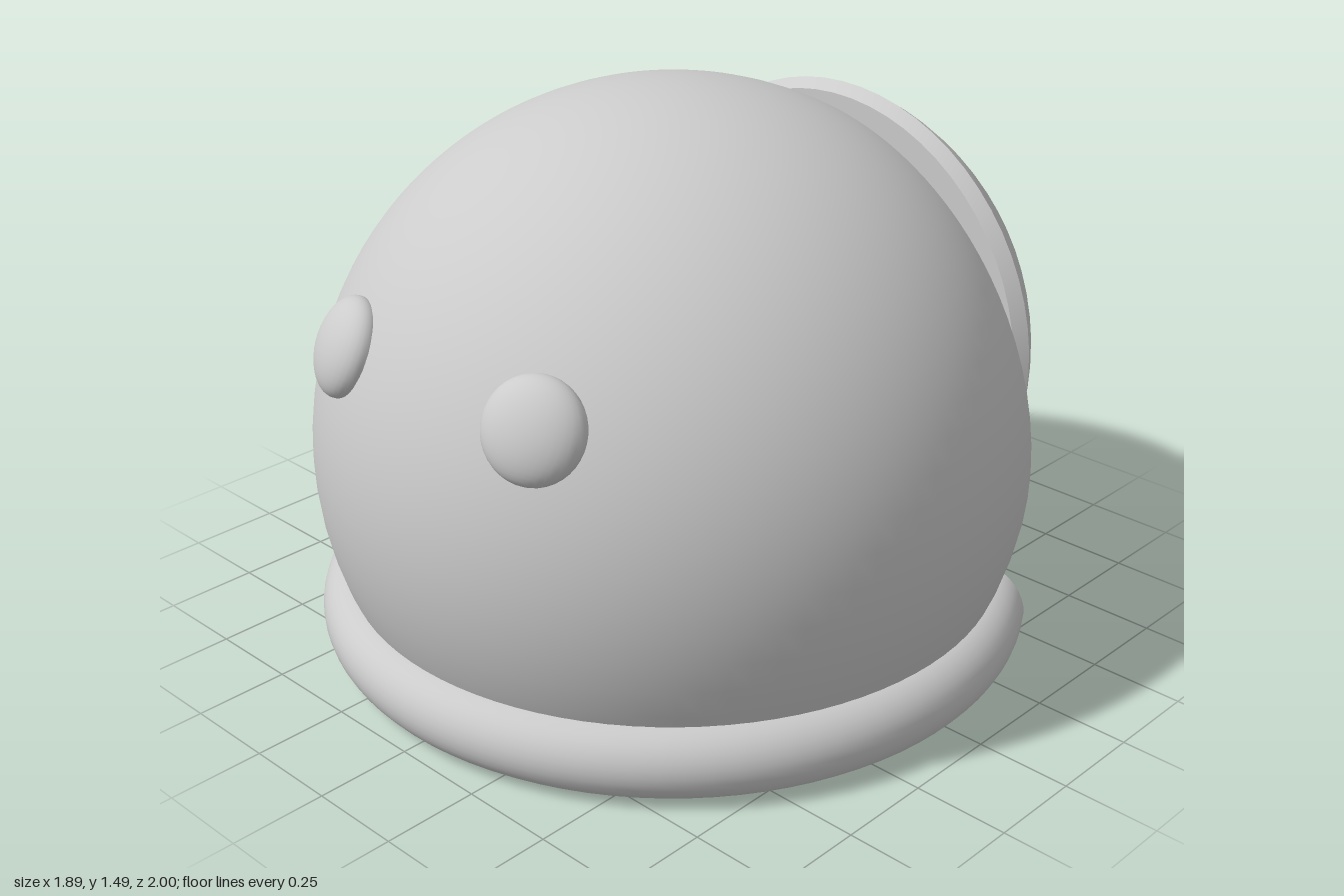
import * as THREE from 'three';
import { toCreasedNormals } from 'three/addons/utils/BufferGeometryUtils.js';

const material = new THREE.MeshStandardMaterial({ color: 0xcccccc });

// Turns a profile of [radius, y, normalR, normalY] rows (bottom to top) about y,
// cut off flat at z = -cut and closed there by a panel.
function cutLathe(profile, cut, segments = 64) {
  const pos = [], nor = [], index = [];
  const row = segments + 1;
  for (const [r, y, nr, ny] of profile) {
    const end = r > cut ? Math.acos(-cut / r) : Math.PI;
    for (let j = 0; j <= segments; j++) {
      const a = end * (2 * j / segments - 1);
      pos.push(r * Math.sin(a), y, r * Math.cos(a));
      nor.push(nr * Math.sin(a), ny, nr * Math.cos(a));
    }
  }
  for (let i = 0; i < profile.length - 1; i++) {
    for (let j = 0; j < segments; j++) {
      const a = i * row + j, b = a + row;
      index.push(a, a + 1, b, a + 1, b + 1, b);
    }
  }
  // flat panel between the row ends
  const start = pos.length / 3;
  profile.forEach(([r, y], i) => {
    const w = Math.sqrt(Math.max(0, r * r - cut * cut));
    pos.push(-w, y, -cut, w, y, -cut);
    nor.push(0, 0, -1, 0, 0, -1);
    const next = profile[i + 1];
    if (next && Math.max(r, next[0]) > cut + 1e-6 && Math.min(r, next[0]) >= cut - 1e-6) {
      const l = start + 2 * i;
      index.push(l + 1, l, l + 3, l, l + 2, l + 3);
    }
  });
  const geo = new THREE.BufferGeometry();
  geo.setAttribute('position', new THREE.Float32BufferAttribute(pos, 3));
  geo.setAttribute('normal', new THREE.Float32BufferAttribute(nor, 3));
  geo.setIndex(index);
  return geo;
}

export function createModel() {
  const model = new THREE.Group();
  const add = (name, geo, x, y, z) => {
    const mesh = new THREE.Mesh(geo, material);
    mesh.name = name;
    mesh.position.set(x, y, z);
    model.add(mesh);
    return mesh;
  };

  // Helmet dome: sphere cut flat at the bottom and at the back
  const R = 0.94, domeY = 0.545, domeZ = 0.05, domeCut = 0.435;
  const dome = [];
  const domeRow = (phi) => {
    const s = Math.sin(phi), c = Math.cos(phi);
    dome.push([R * s, R * c, s, c]);
  };
  const apex = Math.asin(domeCut / R), low = Math.acos((0.15 - domeY) / R);
  for (let i = 32; i >= 0; i--) domeRow(apex + (low - apex) * (i / 32) ** 2);
  for (let i = 7; i >= 0; i--) domeRow(apex * i / 8);
  add('dome', cutLathe(dome, domeCut), 0, domeY, domeZ);

  // Neck ring: disc with a round rim, cut flat at the back
  const rim = 0.1, rimR = 0.845, ringCut = 0.495;
  const ring = [[0, 0, 0, -1], [ringCut, 0, 0, -1]];
  for (let i = 0; i <= 16; i++) {
    const a = Math.PI * (i / 16 - 0.5), c = Math.cos(a), s = Math.sin(a);
    ring.push([rimR + rim * c, rim + rim * s, c, s]);
  }
  ring.push([ringCut, 2 * rim, 0, 1], [0, 2 * rim, 0, 1]);
  add('neckRing', cutLathe(ring, ringCut), 0, 0, domeZ);

  // Post joining the dome and the back cap
  const backY = 0.695;
  const post = new THREE.CylinderGeometry(0.315, 0.315, 0.215, 48).rotateX(-Math.PI / 2);
  add('backPost', post, 0, backY, -0.4775);

  // Back cap: shallow dome with a small bevel, its axis pointing backwards
  const capR = 0.749, capMid = 0.251, edge = Math.asin(0.66 / capR);
  const cap = [new THREE.Vector2(0, 0.57), new THREE.Vector2(0.635, 0.57)];
  for (let i = 0; i <= 16; i++) {
    const a = edge * (1 - i / 16);
    cap.push(new THREE.Vector2(capR * Math.sin(a), capMid + capR * Math.cos(a)));
  }
  const capGeo = toCreasedNormals(new THREE.LatheGeometry(cap, 64), 0.5);
  add('backCap', capGeo.rotateX(-Math.PI / 2), 0, backY, 0);

  // Eyes: flattened balls lying on the dome surface
  for (const side of [1, -1]) {
    const n = new THREE.Vector3(side * 0.335, 0.385, 0.79).normalize();
    const eye = add(side > 0 ? 'leftEye' : 'rightEye', new THREE.SphereGeometry(1, 32, 20),
      n.x * R, domeY + n.y * R, domeZ + n.z * R);
    eye.scale.set(0.128, 0.128, 0.066);
    eye.quaternion.setFromUnitVectors(new THREE.Vector3(0, 0, 1), n);
  }
  return model;
}
